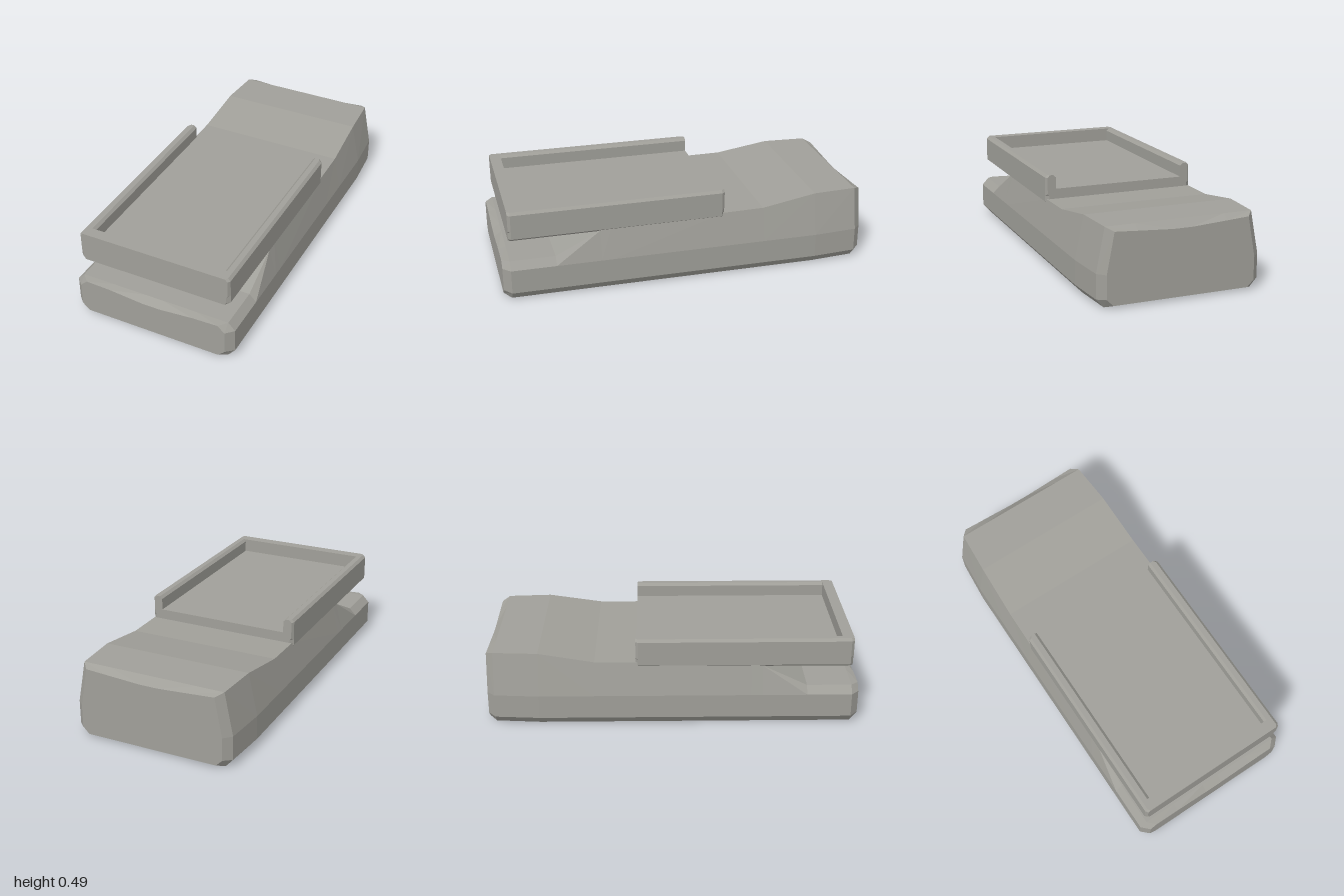
import * as THREE from 'three';

const material = new THREE.MeshStandardMaterial({ color: 0xa09f99, flatShading: true });

// Skin rings along z (equal point counts, counter-clockwise seen from +z) and cap both ends.
function loft(rings) {
  const n = rings[0].length;
  const pos = [];
  const tri = (a, b, c) => pos.push(...a, ...b, ...c);
  for (let r = 0; r < rings.length - 1; r++) {
    for (let i = 0; i < n; i++) {
      const j = (i + 1) % n;
      const [a, b, c, d] = [rings[r][i], rings[r][j], rings[r + 1][j], rings[r + 1][i]];
      // The diagonal flips across x = 0, so both halves mirror each other
      if (a[0] + b[0] > 0) {
        tri(a, b, d);
        tri(b, c, d);
      } else {
        tri(a, b, c);
        tri(a, c, d);
      }
    }
  }
  const centre = (ring) => [0, 1, 2].map((k) => ring.reduce((s, p) => s + p[k], 0) / n);
  const first = rings[0], last = rings[rings.length - 1];
  const c0 = centre(first), c1 = centre(last);
  for (let i = 0; i < n; i++) {
    const j = (i + 1) % n;
    tri(c0, first[j], first[i]);
    tri(c1, last[i], last[j]);
  }
  const g = new THREE.BufferGeometry();
  g.setAttribute('position', new THREE.Float32BufferAttribute(pos, 3));
  g.computeVertexNormals();
  return g;
}

function part(name, rings) {
  const mesh = new THREE.Mesh(loft(rings), material);
  mesh.name = name;
  return mesh;
}

const mirror = (points) => points.slice().reverse().map(([x, y, z]) => [-x, y, z]);
const symmetric = (half) => [...half, ...mirror(half)];

// One cross-section of the body; d1 and d2 dip the top edge towards the middle.
function bodySection({ z, top, t = 0.42, w = 0.458, b = 0.42, y0 = 0, y1 = 0.045, side = 0.175, d1 = 0, d2 = 0 }) {
  return symmetric([
    [b, y0, z], [w, y1, z], [w, side, z], [t, top, z],
    [0.24, top - d1, z], [0.05, top - d2, z],
  ]);
}

function createBody() {
  const sections = [
    { z: -1, top: 0.387, t: 0.36, w: 0.4, b: 0.365, y0: 0.015, y1: 0.05, d1: 0.008, d2: 0.02 },
    { z: -0.96, top: 0.405, t: 0.395, w: 0.44, b: 0.4 },
    { z: -0.72, top: 0.405, t: 0.41 },
    { z: -0.42, top: 0.357, t: 0.418 },
    { z: -0.2, top: 0.355 },
    { z: 0.42, top: 0.34 },
    { z: 0.48, top: 0.332 },
    { z: 0.72, top: 0.215 },
    { z: 0.96, top: 0.215 },
    { z: 1, top: 0.21, t: 0.38, w: 0.418, b: 0.38, y0: 0.015, y1: 0.05, d1: 0.005, d2: 0.023 },
  ];
  return part('body', sections.map(bodySection));
}

function createTray() {
  const tray = new THREE.Group();
  tray.name = 'tray';
  const x = 0.427, back = -0.2, front = 0.96, wall = 0.9;
  const floorY = 0.41, top = 0.487, bevel = 0.014;

  // Floor slab: chamfered lower edges, corners cut deeper below y = 0.375
  const floorSection = (z, low, high) => symmetric([
    [0.408 - low / 2, 0.325, z], [x - low, 0.34, z], [x - low, 0.373, z],
    [x - high, 0.383, z], [x - high, floorY, z],
  ]);
  tray.add(part('trayFloor', [
    floorSection(back, 0.018, 0.01),
    floorSection(back + 0.015, 0, 0),
    floorSection(front - 0.015, 0, 0),
    floorSection(front, 0.018, 0.01),
  ]));

  // Front wall
  const wallSection = (z, inset) => symmetric([
    [x - inset, floorY, z], [x - inset, top - bevel, z], [x - inset - bevel, top, z],
  ]);
  tray.add(part('trayFrontWall', [
    wallSection(wall, 0),
    wallSection(front - 0.015, 0),
    wallSection(front, 0.01),
  ]));

  // Side rails with bevelled tops, open at the back
  const railSection = (z, inset) => [
    [0.37, floorY, z], [x - inset, floorY, z], [x - inset, top - bevel, z],
    [x - inset - bevel, top, z], [0.37 + bevel, top, z], [0.37, top - bevel, z],
  ];
  const rail = [railSection(back, 0.01), railSection(back + 0.015, 0), railSection(wall, 0)];
  tray.add(part('leftRail', rail), part('rightRail', rail.map(mirror)));
  return tray;
}

export function createModel() {
  const model = new THREE.Group();
  model.name = 'deviceWithTray';
  model.add(createBody(), createTray());
  return model;
}
